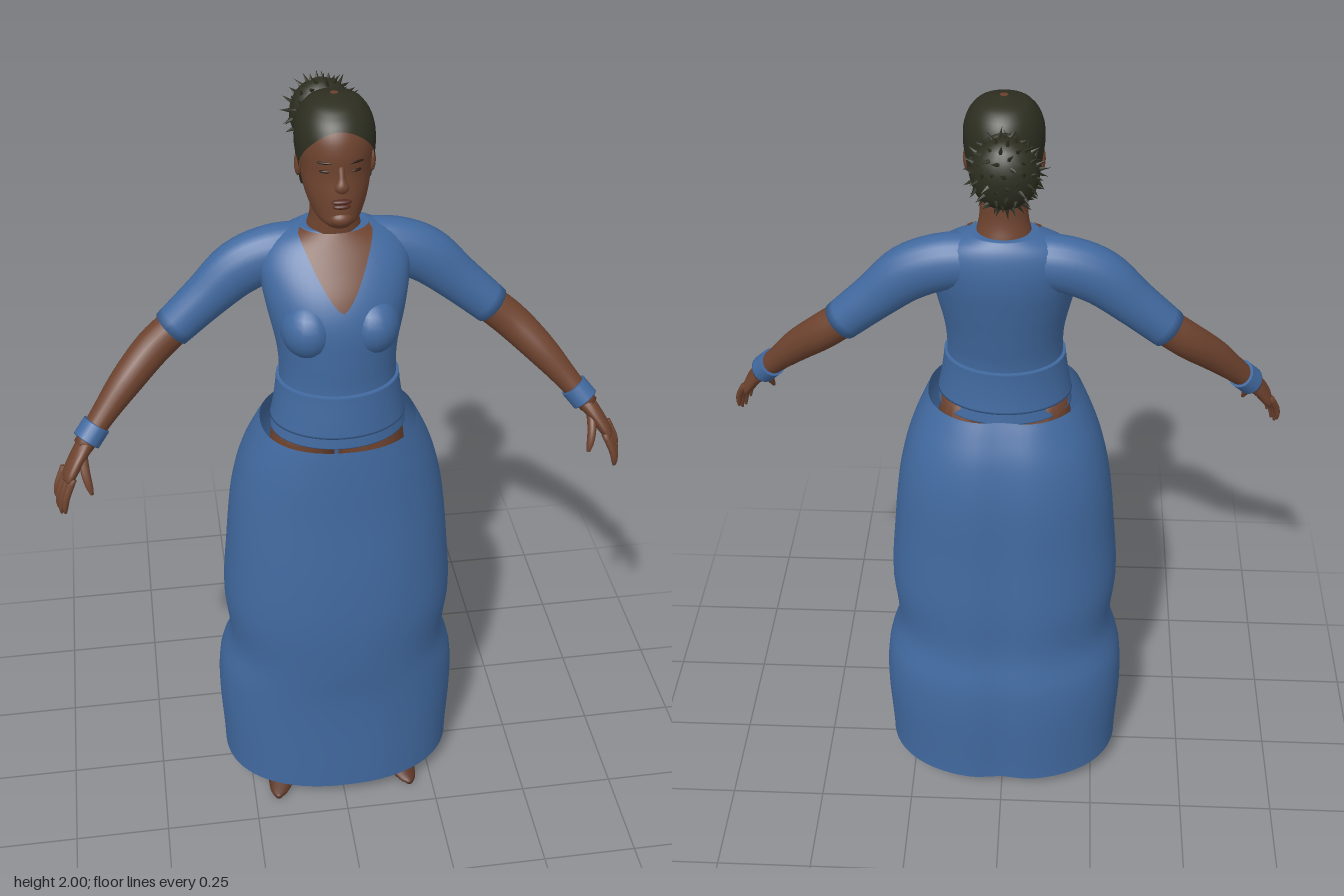
import * as THREE from 'three';

const mat = (name, color, side = THREE.FrontSide) => {
  const m = new THREE.MeshStandardMaterial({ color, side });
  m.name = name;
  return m;
};

// Smooth interpolation through rows of numbers, keyed by times
function spline(times, rows) {
  const c = new THREE.CubicInterpolant(times, rows.flat(), rows[0].length);
  return (t) => Array.from(c.evaluate(t));
}

// Surface through rows x cols points given by fn(v, u); wrap joins the last column to the first
function grid(rows, cols, fn, wrap = true) {
  const pos = [], idx = [], n = wrap ? cols : cols + 1;
  for (let i = 0; i <= rows; i++) for (let j = 0; j < n; j++) pos.push(...fn(i / rows, j / cols, i));
  for (let i = 0; i < rows; i++) for (let j = 0; j < cols; j++) {
    const k = (j + 1) % n, a = i * n + j, b = i * n + k, c = b + n, d = a + n;
    idx.push(a, b, c, a, c, d);
  }
  const g = new THREE.BufferGeometry();
  g.setAttribute('position', new THREE.Float32BufferAttribute(pos, 3));
  g.setIndex(idx);
  g.computeVertexNormals();
  return g;
}

// Upright body profile: rows of [y, half width, front z, back z]
const profile = (t) => spline(t.map((r) => r[0]), t.map((r) => r.slice(1)));
const spow = (c, p) => Math.sign(c) * Math.abs(c) ** p;
function ringPoint(f, y, u, grow = 0, power = 2) {
  const [rx, zf, zb] = f(y), a = u * Math.PI * 2;
  return [(rx + grow) * spow(Math.cos(a), 2 / power), y,
    (zf + zb) / 2 - ((zf - zb) / 2 + grow) * spow(Math.sin(a), 2 / power)];
}
function loft(f, y0, y1, { grow = 0, power = 2, cap = true, rows = 40, cols = 48 } = {}) {
  return grid(rows, cols, (v, u, i) => {
    const y = THREE.MathUtils.lerp(y0, y1, (1 - Math.cos(v * Math.PI)) / 2);
    const p = ringPoint(f, y, u, grow, power);
    if (cap && (i === 0 || i === rows)) { const [, a, b] = f(y); return [0, y, (a + b) / 2]; }
    return p;
  });
}

// Limb along stations [x, y, z, radius 1, radius 2], closed at both ends
function limb(st, ref = [0, 0, 1], rows = 20, cols = 20) {
  const f = spline(st.map((_, i) => i), st), end = st.length - 1, r = new THREE.Vector3(...ref);
  const at = (t) => new THREE.Vector3(...f(t).slice(0, 3));
  return grid(rows + 2, cols, (_, u, i) => {
    const t = THREE.MathUtils.clamp((i - 1) / rows, 0, 1) * end;
    const c = at(t), [, , , r1, r2] = f(t), a = u * Math.PI * 2;
    if (i === 0 || i === rows + 2) return c.toArray();
    const dir = at(Math.min(t + 0.02, end)).sub(at(Math.max(t - 0.02, 0))).normalize();
    const e1 = r.clone().cross(dir).normalize(), e2 = dir.clone().cross(e1);
    return c.addScaledVector(e1, Math.cos(a) * r1).addScaledVector(e2, Math.sin(a) * r2).toArray();
  });
}

export function createModel() {
  const blue = mat('blue cloth', 0x41699f);
  const skirtBlue = mat('blue skirt cloth', 0x41699f, THREE.DoubleSide);
  const skin = mat('brown skin', 0x6e432f);
  const hair = mat('dark hair', 0x2d2e20, THREE.DoubleSide);
  const shoe = mat('brown leather', 0x5a3424);
  const lip = mat('dark lips', 0x54291f);
  const dark = mat('dark eyes', 0x2a1a14);
  const model = new THREE.Group();
  const add = (name, geo, m) => {
    const mesh = new THREE.Mesh(geo, m);
    mesh.name = name;
    model.add(mesh);
    return mesh;
  };
  const ball = (name, m, p, s) => {
    const b = add(name, new THREE.SphereGeometry(1, 20, 14), m);
    b.position.set(...p);
    b.scale.set(...s);
    return b;
  };

  // Open skirt with a slight dent down the back
  const skirt = profile([[0.07, 0.315, 0.225, -0.237], [0.4, 0.315, 0.225, -0.235], [0.49, 0.288, 0.233, -0.215],
    [0.65, 0.297, 0.24, -0.21], [0.8, 0.286, 0.235, -0.2], [1.0, 0.262, 0.22, -0.187],
    [1.1, 0.235, 0.215, -0.165], [1.17, 0.205, 0.21, -0.135], [1.2, 0.19, 0.207, -0.12]]);
  const skirtGeo = loft(skirt, 0.07, 1.2, { power: 2.25, cap: false, rows: 50, cols: 72 });
  const sp = skirtGeo.attributes.position;
  for (let i = 0; i < sp.count; i++) {
    if (sp.getZ(i) < 0) sp.setZ(i, sp.getZ(i) + 0.012 * Math.exp(-((sp.getX(i) / 0.05) ** 2)));
  }
  skirtGeo.computeVertexNormals();
  add('skirt', skirtGeo, skirtBlue);

  // Bodice, bust and waistband
  const torso = profile([[1.18, 0.165, 0.165, -0.09], [1.25, 0.15, 0.158, -0.08], [1.33, 0.14, 0.15, -0.078],
    [1.4, 0.143, 0.15, -0.09], [1.5, 0.163, 0.143, -0.11], [1.56, 0.173, 0.118, -0.12],
    [1.62, 0.17, 0.075, -0.12], [1.66, 0.135, 0.042, -0.11], [1.685, 0.075, 0.02, -0.095]]);
  add('bodice', loft(torso, 1.18, 1.685), blue);
  add('waistband', loft(torso, 1.21, 1.325, { grow: 0.007, rows: 12 }), blue);

  // Skin showing in the V neckline
  add('neckline', grid(24, 16, (v, u) => {
    const y = 1.535 + 0.147 * v, [rx, zf, zb] = torso(y);
    const x = (u * 2 - 1) * Math.min(0.088 * v ** 0.7, rx * 0.97);
    return [x, y, (zf + zb) / 2 + (zf - zb) / 2 * Math.sqrt(1 - (x / rx) ** 2) + 0.005];
  }, false), skin);

  // Neck and head
  const neck = profile([[1.62, 0.075, 0.02, -0.095], [1.67, 0.066, 0.027, -0.09], [1.71, 0.056, 0.028, -0.077],
    [1.8, 0.056, 0.03, -0.075]]);
  add('neck', loft(neck, 1.62, 1.8, { rows: 16 }), skin);
  const head = profile([[1.725, 0.03, 0.085, 0.0], [1.74, 0.048, 0.1, -0.035], [1.76, 0.06, 0.1, -0.062],
    [1.8, 0.073, 0.098, -0.085], [1.85, 0.08, 0.092, -0.105], [1.9, 0.085, 0.092, -0.113],
    [1.94, 0.08, 0.08, -0.107], [1.97, 0.064, 0.055, -0.088], [1.988, 0.04, 0.022, -0.058], [1.996, 0.004, -0.014, -0.022]]);
  add('head', loft(head, 1.725, 1.996), skin);

  // Hair cap from the hairline to the crown
  add('hairCap', grid(24, 48, (v, u) => {
    const front = -Math.sin(u * Math.PI * 2);
    const low = front > 0 ? 1.81 + 0.14 * front ** 0.8 : 1.81 - 0.05 * Math.abs(front) ** 0.7;
    return ringPoint(head, THREE.MathUtils.lerp(low, 1.996, Math.sin(v * Math.PI / 2)), u, 0.005)
      .map((c, k) => (k === 1 ? c + 0.004 * v : c));
  }), hair);

  // Gathered bun with loose strand tips
  const bun = new THREE.Vector3(-0.008, 1.89, -0.168), bunSize = new THREE.Vector3(0.074, 0.08, 0.056);
  ball('bun', hair, bun.toArray(), bunSize.toArray());
  const tie = add('hairTie', new THREE.TorusGeometry(0.042, 0.014, 10, 24), hair);
  tie.position.set(-0.004, 1.9, -0.115);
  for (let i = 0; i < 110; i++) {
    const z = 1 - 2 * (i + 0.5) / 110, a = i * 2.39996, r = Math.sqrt(1 - z * z);
    const d = new THREE.Vector3(r * Math.cos(a), r * Math.sin(a), z);
    const tip = add('strand', new THREE.ConeGeometry(0.009, 0.035 + 0.012 * Math.sin(i * 7.3), 5), hair);
    tip.position.copy(d).multiply(bunSize).add(bun);
    d.x += 0.5 * Math.sin(i * 3.1);
    d.y += 0.5 * Math.cos(i * 5.7);
    tip.quaternion.setFromUnitVectors(new THREE.Vector3(0, 1, 0), d.normalize());
  }

  // Face
  add('nose', limb([[0, 1.875, 0.088, 0.007, 0.006], [0, 1.85, 0.096, 0.009, 0.01],
    [0, 1.832, 0.101, 0.016, 0.013], [0, 1.822, 0.097, 0.01, 0.008]]), skin);
  ball('upperLip', lip, [0, 1.797, 0.099, ], [0.023, 0.006, 0.009]);
  ball('lowerLip', lip, [0, 1.786, 0.099], [0.02, 0.006, 0.009]);
  ball('chin', skin, [0, 1.752, 0.088], [0.026, 0.018, 0.019]);

  for (const s of [1, -1]) {
    const side = s > 0 ? 'left' : 'right';
    const m = (st) => st.map(([x, ...rest]) => [x * s, ...rest]);

    ball(side + 'Bust', blue, [0.074 * s, 1.475, 0.075], [0.066, 0.075, 0.079]);
    ball(side + 'Eye', dark, [0.034 * s, 1.863, 0.081], [0.013, 0.0035, 0.005]).rotation.y = 0.35 * s;
    ball(side + 'Brow', dark, [0.035 * s, 1.883, 0.082], [0.018, 0.003, 0.004]).rotation.y = 0.4 * s;
    ball(side + 'Ear', skin, [0.083 * s, 1.845, -0.005], [0.008, 0.028, 0.016]);

    // Arm: sleeve, forearm and bracelet
    add(side + 'Sleeve', limb(m([[0.06, 1.612, -0.045, 0.066, 0.058], [0.14, 1.605, -0.047, 0.068, 0.058],
      [0.22, 1.573, -0.045, 0.067, 0.055], [0.3, 1.505, -0.04, 0.056, 0.05], [0.385, 1.43, -0.032, 0.049, 0.047]])), blue);
    add(side + 'Forearm', limb(m([[0.36, 1.45, -0.034, 0.043, 0.042], [0.43, 1.393, -0.018, 0.044, 0.043],
      [0.5, 1.328, 0.02, 0.039, 0.04], [0.56, 1.263, 0.055, 0.03, 0.033], [0.615, 1.2, 0.09, 0.024, 0.029]])), skin);
    add(side + 'Bracelet', limb(m([[0.578, 1.243, 0.066, 0.034, 0.038], [0.592, 1.227, 0.075, 0.034, 0.038],
      [0.606, 1.211, 0.084, 0.034, 0.038]])), blue);

    // Hand
    add(side + 'Palm', limb(m([[0.605, 1.21, 0.085, 0.022, 0.027], [0.63, 1.18, 0.105, 0.018, 0.036],
      [0.65, 1.15, 0.12, 0.016, 0.04], [0.66, 1.133, 0.128, 0.011, 0.036]])), skin);
    for (let k = 0; k < 4; k++) {
      const w = k - 1.5, len = [0.9, 1.05, 1, 0.8][k];
      const x = 0.662 - 0.007 * -w, z = 0.128 - 0.019 * w;
      add(side + 'Finger', limb(m([[x - 0.008, 1.15, z - 0.005, 0.009, 0.009],
        [x + 0.012 * len, 1.142 - 0.036 * len, z + 0.009, 0.0085, 0.0085],
        [x + 0.019 * len, 1.142 - 0.066 * len, z + 0.013, 0.007, 0.007],
        [x + 0.02 * len, 1.142 - 0.085 * len, z + 0.013, 0.003, 0.003]]), [0, 0, 1], 9, 8), skin);
    }
    add(side + 'Thumb', limb(m([[0.618, 1.19, 0.105, 0.012, 0.014], [0.614, 1.158, 0.138, 0.011, 0.012],
      [0.608, 1.128, 0.155, 0.009, 0.009], [0.603, 1.108, 0.162, 0.004, 0.004]]), [0, 0, 1], 9, 10), skin);

    // Leg, instep and heeled shoe
    add(side + 'Leg', limb(m([[0.08, 1.22, 0.025, 0.075, 0.085], [0.095, 0.95, 0.02, 0.085, 0.085],
      [0.11, 0.58, 0.01, 0.055, 0.058], [0.125, 0.38, -0.025, 0.05, 0.055], [0.136, 0.15, -0.055, 0.028, 0.031],
      [0.138, 0.06, -0.065, 0.028, 0.032]])), skin);
    add(side + 'Instep', limb(m([[0.138, 0.1, -0.06, 0.029, 0.03], [0.145, 0.075, 0, 0.029, 0.022],
      [0.157, 0.05, 0.06, 0.031, 0.016], [0.165, 0.035, 0.1, 0.025, 0.011]]), [0, 1, 0]), skin);
    add(side + 'Shoe', limb(m([[0.133, 0.055, -0.103, 0.02, 0.024], [0.14, 0.056, -0.06, 0.03, 0.03],
      [0.15, 0.04, 0.02, 0.032, 0.022], [0.165, 0.022, 0.1, 0.042, 0.021], [0.182, 0.012, 0.165, 0.026, 0.012],
      [0.187, 0.009, 0.19, 0.008, 0.007]]), [0, 1, 0]), shoe);
    const heel = add(side + 'Heel', new THREE.CylinderGeometry(0.016, 0.008, 0.055, 12), shoe);
    heel.position.set(0.135 * s, 0.0275, -0.088);
  }
  return model;
}
